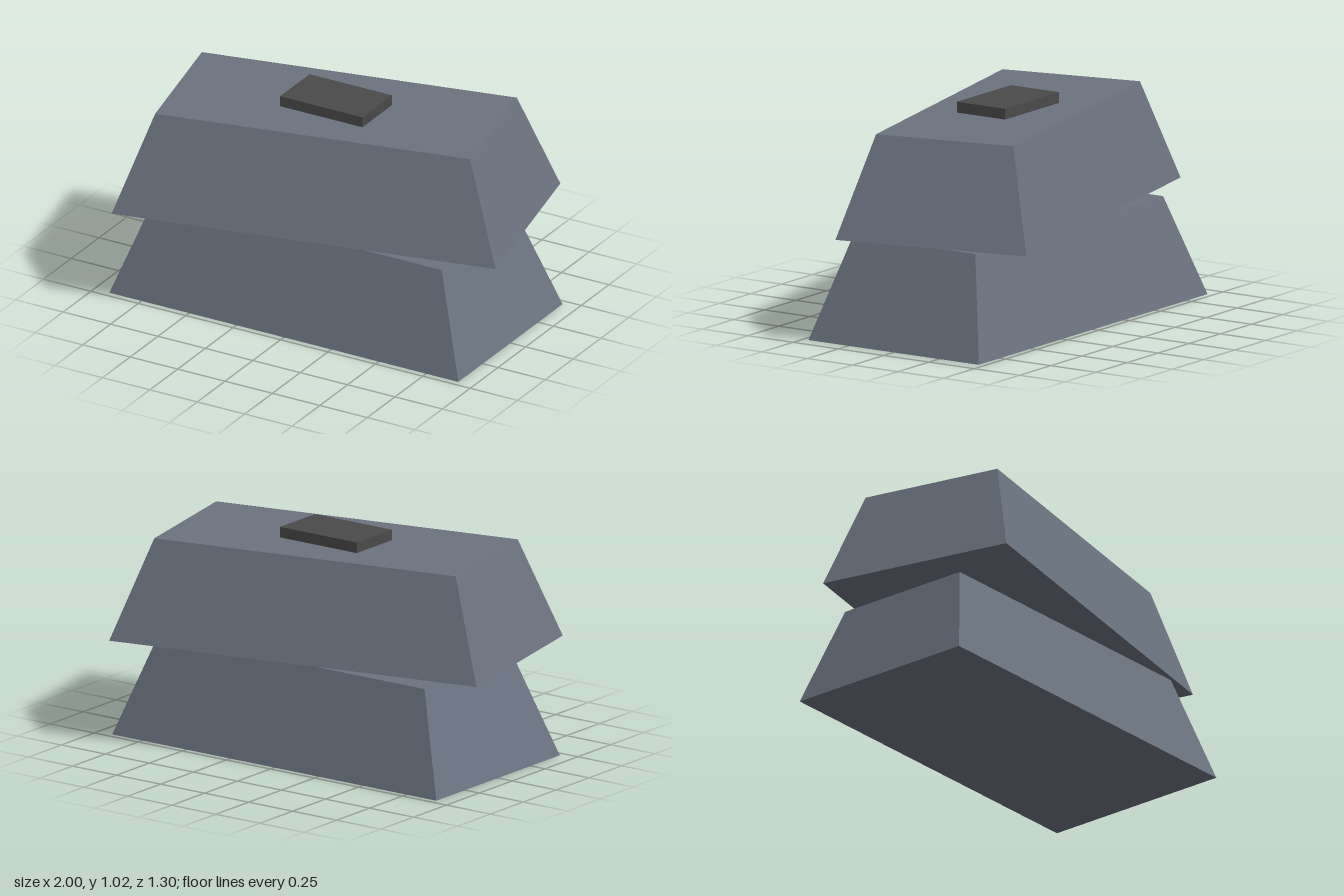
import * as THREE from 'three';

// Box whose top face is narrowed to make a cast-ingot taper, standing on y = 0
function ingotGeometry(length, depth, height, topLength, topDepth) {
  const geometry = new THREE.BoxGeometry(length, height, depth);
  geometry.translate(0, height / 2, 0);
  const p = geometry.attributes.position;
  for (let i = 0; i < p.count; i++) {
    if (p.getY(i) > height / 2) {
      p.setX(i, Math.sign(p.getX(i)) * topLength / 2);
      p.setZ(i, Math.sign(p.getZ(i)) * topDepth / 2);
    }
  }
  geometry.computeVertexNormals();
  return geometry;
}

export function createModel() {
  const model = new THREE.Group();
  model.name = 'ingotStack';

  const metal = new THREE.MeshStandardMaterial({ color: 0x6b7380 });
  metal.name = 'blue grey metal';
  const dark = new THREE.MeshStandardMaterial({ color: 0x4a4a4a });
  dark.name = 'dark grey';

  const geometry = ingotGeometry(1.84, 0.94, 0.47, 1.51, 0.676);

  // Two identical ingots, the upper one turned and floating slightly above
  const lower = new THREE.Mesh(geometry, metal);
  lower.name = 'lowerIngot';
  const upper = new THREE.Mesh(geometry, metal);
  upper.name = 'upperIngot';
  upper.position.y = 0.505;
  upper.rotation.y = 0.21;

  // Stamp plate on top, square to the lower ingot
  const stamp = new THREE.Mesh(new THREE.BoxGeometry(0.435, 0.07, 0.267), dark);
  stamp.name = 'stampPlate';
  stamp.position.y = 0.99;

  model.add(lower, upper, stamp);
  return model;
}
